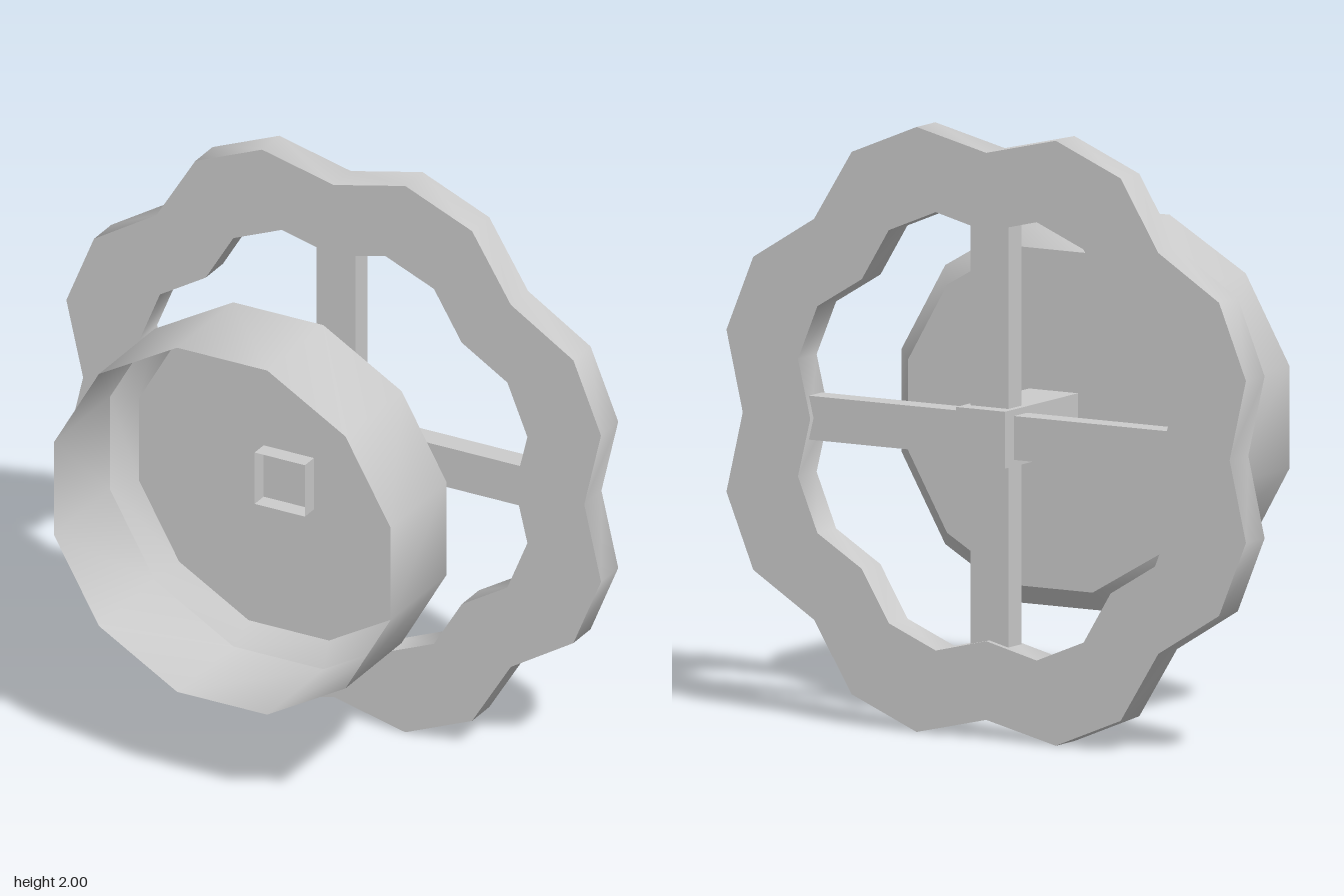
import * as THREE from 'three';
import { toCreasedNormals } from 'three/addons/utils/BufferGeometryUtils.js';

const CENTER_Y = 1;

// Eight-lobed outline: every third of 24 points dips inward
function lobedPoints(peak, dip) {
  return Array.from({ length: 24 }, (_, i) => {
    const a = (i * Math.PI) / 12;
    const r = i % 3 === 0 ? dip : peak;
    return new THREE.Vector2(r * Math.cos(a), r * Math.sin(a));
  });
}

export function createModel() {
  const model = new THREE.Group();
  model.name = 'handwheel';
  const grey = new THREE.MeshStandardMaterial({ color: 0xcccccc });
  const thin = new THREE.MeshStandardMaterial({ color: 0xcccccc, side: THREE.DoubleSide });

  function add(parent, name, geometry, material = grey) {
    const mesh = new THREE.Mesh(geometry, material);
    mesh.name = name;
    parent.add(mesh);
    return mesh;
  }

  // Thin twelve-sided cup, open to the front, with a chamfered base
  const profile = [[0, 0], [0.58, 0], [0.652, 0.07], [0.652, 0.445]]
    .map(([r, z]) => new THREE.Vector2(r, z));
  const cup = new THREE.LatheGeometry(profile, 12, Math.PI / 12);
  cup.rotateX(Math.PI / 2);
  add(model, 'cup', toCreasedNormals(cup, 0.7), thin).position.y = CENTER_Y;

  // Scalloped rim of the wheel
  const outline = new THREE.Shape(lobedPoints(1.035, 0.937));
  outline.holes.push(new THREE.Path(lobedPoints(0.75, 0.677).reverse()));
  const rim = new THREE.ExtrudeGeometry(outline, { depth: 0.115, bevelEnabled: false });
  add(model, 'wheelRim', toCreasedNormals(rim, 0.9)).position.set(0, CENTER_Y, -0.415);

  // Crossed spokes ending inside the rim
  const spokes = new THREE.Group();
  spokes.name = 'spokes';
  spokes.position.set(0, CENTER_Y, -0.355);
  model.add(spokes);
  add(spokes, 'horizontalSpoke', new THREE.BoxGeometry(1.4, 0.145, 0.08));
  add(spokes, 'verticalSpoke', new THREE.BoxGeometry(0.145, 1.4, 0.08));

  // Square shaft, open where it pokes into the cup and capped at the back
  const shaft = new THREE.Group();
  shaft.name = 'shaft';
  shaft.position.y = CENTER_Y;
  model.add(shaft);
  const half = 0.094, front = 0.06, back = -0.45;
  const tube = new THREE.CylinderGeometry(
    half * Math.SQRT2, half * Math.SQRT2, front - back, 4, 1, true, Math.PI / 4);
  tube.rotateX(Math.PI / 2);
  add(shaft, 'shaftTube', toCreasedNormals(tube, 0.5), thin).position.z = (front + back) / 2;
  const cap = new THREE.PlaneGeometry(half * 2, half * 2).rotateY(Math.PI);
  add(shaft, 'shaftCap', cap, thin).position.z = back;

  return model;
}
